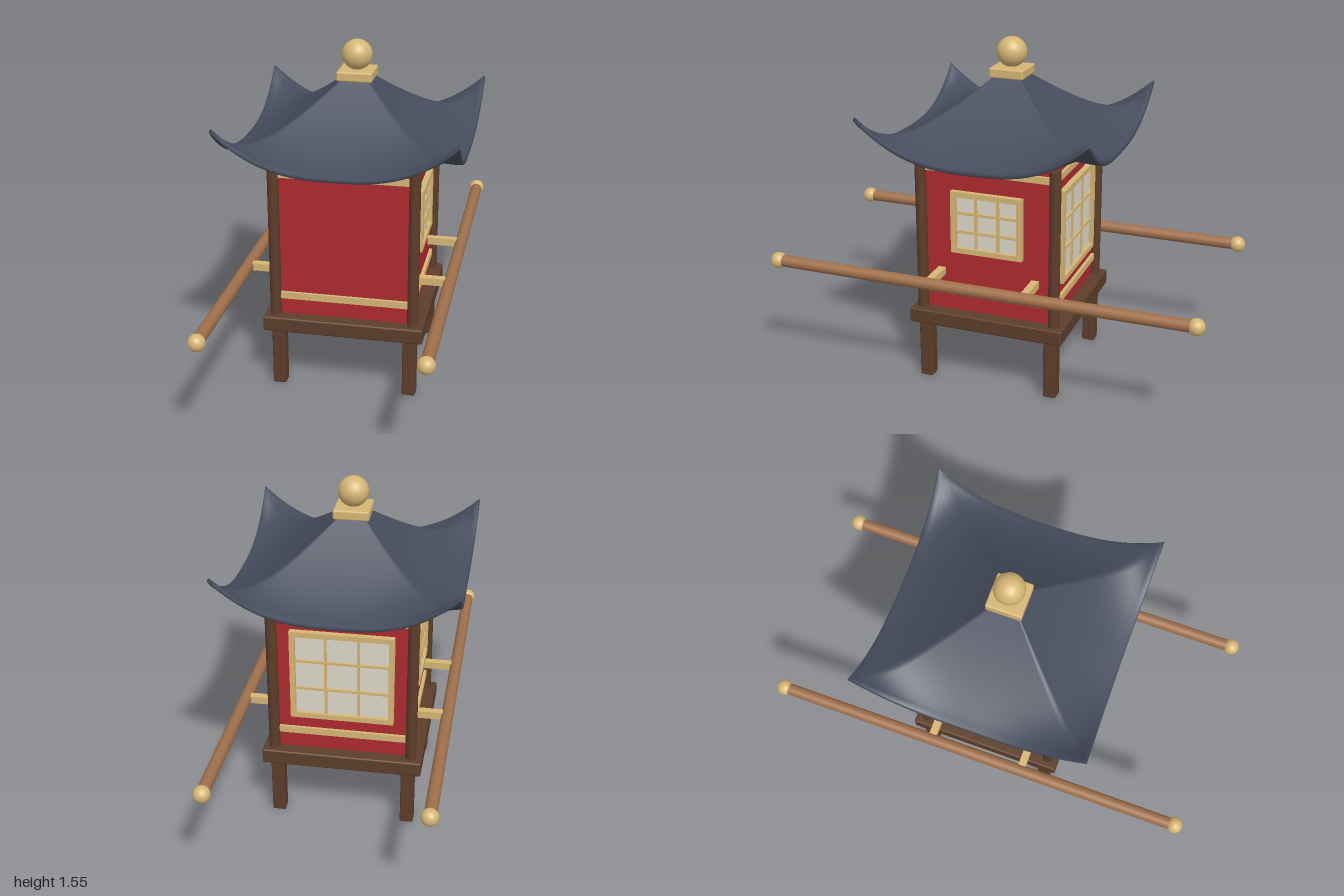
import * as THREE from 'three';
import { RoundedBoxGeometry } from 'three/addons/geometries/RoundedBoxGeometry.js';

export function createModel() {
  const model = new THREE.Group();
  model.name = 'palanquin';

  const mat = (name, color) => {
    const m = new THREE.MeshStandardMaterial({ color });
    m.name = name;
    return m;
  };
  const red = mat('red lacquer', 0xae2a30);
  const gold = mat('gold', 0xd6b675);
  const darkWood = mat('dark wood', 0x5c3d29);
  const poleWood = mat('pole wood', 0x9f6f4a);
  const slate = mat('roof slate', 0x454c5c);
  const paper = mat('window paper', 0xddd8c8);

  const add = (parent, name, geometry, material, x = 0, y = 0, z = 0) => {
    const mesh = new THREE.Mesh(geometry, material);
    mesh.name = name;
    mesh.position.set(x, y, z);
    parent.add(mesh);
    return mesh;
  };
  const box = (w, h, d) => new THREE.BoxGeometry(w, h, d);
  const rounded = (w, h, d, r = 0.008) => new RoundedBoxGeometry(w, h, d, 2, r);

  // Base, cabin, legs and corner posts
  add(model, 'base', rounded(0.72, 0.07, 0.72), darkWood, 0, 0.315, 0);
  add(model, 'cabin', box(0.6, 0.715, 0.6), red, 0, 0.7075, 0);
  for (const sx of [-1, 1]) {
    for (const sz of [-1, 1]) {
      add(model, 'leg', rounded(0.06, 0.285, 0.06, 0.006), darkWood, sx * 0.298, 0.1425, sz * 0.298);
      add(model, 'cornerPost', new THREE.CylinderGeometry(0.025, 0.025, 0.715, 20), darkWood,
        sx * 0.31, 0.7075, sz * 0.31);
    }
  }

  // A framed lattice window standing on the local +z face of the cabin
  function makeWindow(w, h, y) {
    const g = new THREE.Group();
    g.name = 'latticeWindow';
    g.position.set(0, y, 0.3);
    const t = 0.024;
    add(g, 'windowPaper', box(w - t, h - t, 0.008), paper, 0, 0, 0.004);
    for (const s of [-1, 1]) {
      add(g, 'windowFrame', box(w, t, 0.026), gold, 0, s * (h - t) / 2, 0.013);
      add(g, 'windowFrame', box(t, h - 2 * t, 0.026), gold, s * (w - t) / 2, 0, 0.013);
      add(g, 'windowBar', box(0.012, h - 2 * t, 0.016), gold, s * (w - t) / 6, 0, 0.008);
      add(g, 'windowBar', box(w - 2 * t, 0.012, 0.018), gold, 0, s * (h - t) / 6, 0.009);
    }
    return g;
  }

  // Four walls: gold trim on each, windows on all but the front
  const windows = [null, [0.33, 0.285, 0.78], [0.46, 0.43, 0.735], [0.33, 0.285, 0.78]];
  windows.forEach((spec, i) => {
    const wall = new THREE.Group();
    wall.name = ['frontWall', 'leftWall', 'backWall', 'rightWall'][i];
    wall.rotation.y = i * Math.PI / 2;
    for (const y of [0.442, 1.018]) add(wall, 'wallTrim', box(0.58, 0.031, 0.024), gold, 0, y, 0.302);
    if (spec) wall.add(makeWindow(...spec));
    model.add(wall);
  });

  // Carrying poles with end knobs and brackets
  for (const s of [-1, 1]) {
    const pole = new THREE.Group();
    pole.name = s > 0 ? 'leftPole' : 'rightPole';
    const rod = add(pole, 'poleRod', new THREE.CylinderGeometry(0.027, 0.027, 1.92, 24), poleWood, s * 0.459, 0.532, 0);
    rod.rotation.x = Math.PI / 2;
    for (const e of [-1, 1]) {
      add(pole, 'poleKnob', new THREE.SphereGeometry(0.037, 24, 16), gold, s * 0.459, 0.532, e * 0.963);
      add(pole, 'poleBracket', box(0.17, 0.034, 0.034), gold, s * 0.375, 0.532, e * 0.22);
    }
    model.add(pole);
  }

  // Sweeping roof: square rings run down the top, round the rim and back up underneath
  function roofGeometry() {
    const side = 28, steps = 22, around = side * 4;
    const rings = [];
    for (let i = 0; i <= steps; i++) rings.push([i / steps, 0, 0]);
    rings.push([1, 0.005, 0.006], [1, 0.005, 0.018]);
    for (let i = steps; i >= 0; i--) rings.push([i / steps, 0, 0.024]);

    const positions = [], index = [];
    for (const [u, out, drop] of rings) {
      for (let k = 0; k < around; k++) {
        const t = (k % side) / side * 2 - 1;
        const half = 0.06 + (0.441 + 0.009 * t * t) * u + out;
        const lift = 0.178 * Math.pow(Math.abs(t), 2.8) * Math.pow(u, 5);
        const y = 1.093 + 0.285 * Math.pow(1 - u, 1.4) + lift - drop;
        let x = t * half, z = half;
        for (let q = Math.floor(k / side); q > 0; q--) [x, z] = [z, -x];
        positions.push(x, y, z);
      }
    }
    for (let i = 0; i < rings.length - 1; i++) {
      for (let k = 0; k < around; k++) {
        const n = (k + 1) % around;
        const a = i * around + k, b = i * around + n;
        const c = a + around, d = b + around;
        index.push(a, c, b, b, c, d);
      }
    }
    const g = new THREE.BufferGeometry();
    g.setAttribute('position', new THREE.Float32BufferAttribute(positions, 3));
    g.setIndex(index);
    g.computeVertexNormals();
    return g;
  }
  add(model, 'roof', roofGeometry(), slate);

  // Finial
  add(model, 'finialPlate', rounded(0.158, 0.044, 0.158), gold, 0, 1.396, 0);
  add(model, 'finialBall', new THREE.SphereGeometry(0.067, 32, 24), gold, 0, 1.48, 0);

  return model;
}
